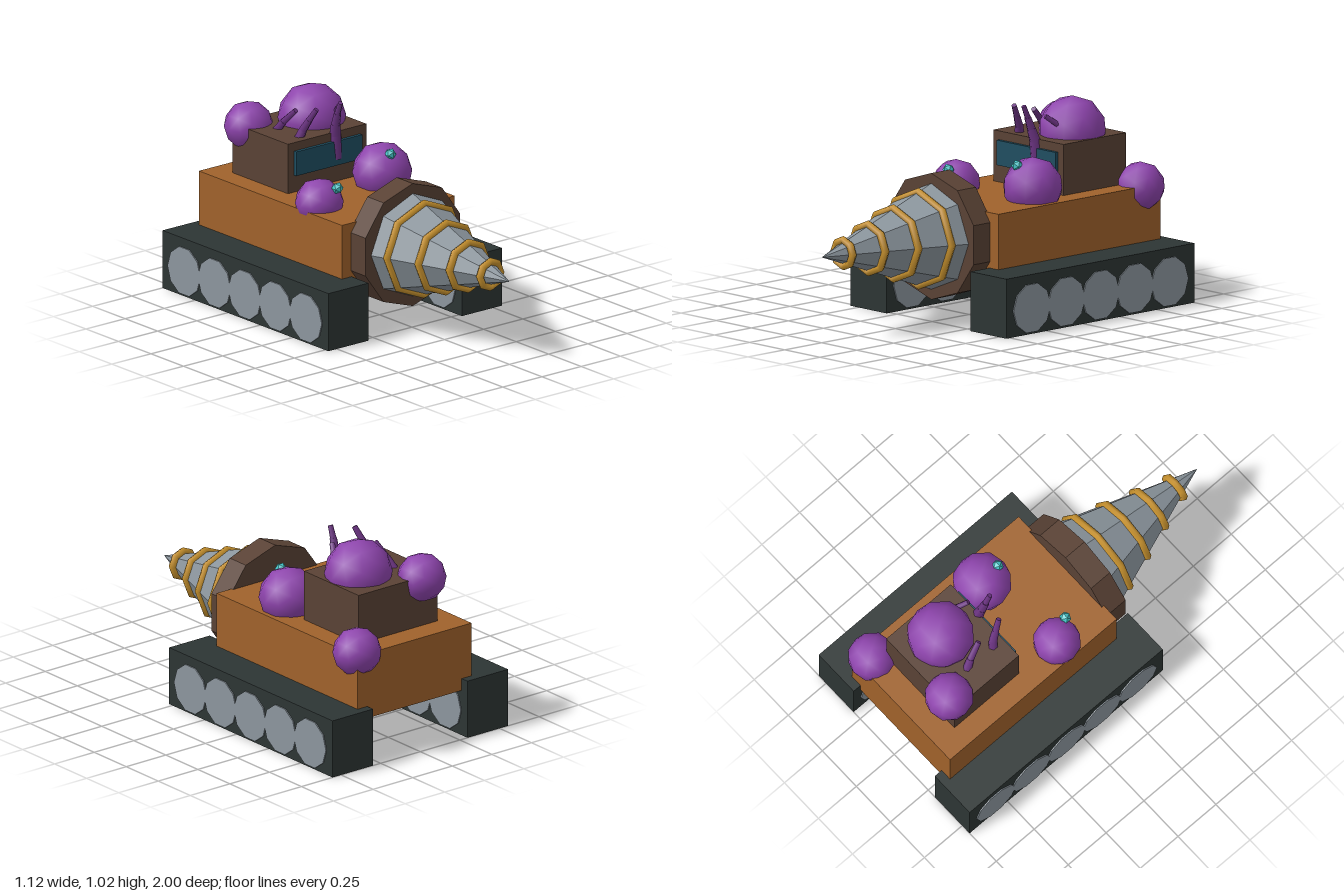
import * as THREE from 'three';

const mat = (name, color, flatShading = false) => {
  const m = new THREE.MeshStandardMaterial({ color });
  m.name = name;
  m.flatShading = flatShading;
  return m;
};

export function createModel() {
  const model = new THREE.Group();
  model.name = 'drillVehicle';

  const orange = mat('rustOrange', 0xa0622b);
  const brown = mat('darkBrown', 0x5a4235, true);
  const dark = mat('trackCharcoal', 0x2d3534);
  const steel = mat('steel', 0x8c969e, true);
  const gold = mat('gold', 0xc8922e);
  const glass = mat('tealGlass', 0x1f4e61);
  const purple = mat('purple', 0x8e44ad);
  const stalkPurple = mat('darkPurple', 0x6c3483);
  const cyan = mat('cyanCrystal', 0x45c5c8, true);

  const add = (name, geometry, material, x, y, z) => {
    const mesh = new THREE.Mesh(geometry, material);
    mesh.name = name;
    mesh.position.set(x, y, z);
    model.add(mesh);
    return mesh;
  };
  const box = (name, w, h, d, material, x, y, z) =>
    add(name, new THREE.BoxGeometry(w, h, d), material, x, y, z);

  // Hull, cabin and windscreen
  box('hull', 0.72, 0.34, 1.1, orange, 0, 0.406, -0.405);
  box('cabin', 0.5, 0.26, 0.425, brown, 0, 0.702, -0.615);
  box('windscreen', 0.42, 0.125, 0.02, glass, 0, 0.726, -0.395);

  // Tracks with road wheels showing on both faces
  for (const side of [1, -1]) {
    const name = side > 0 ? 'left' : 'right';
    box(name + 'Track', 0.256, 0.298, 1.275, dark, side * 0.426, 0.149, -0.3625);
    for (let i = 0; i < 5; i++) {
      const wheel = new THREE.CylinderGeometry(0.126, 0.126, 0.268, 10).rotateZ(Math.PI / 2);
      add(name + 'Wheel', wheel, steel, side * 0.426, 0.13, 0.105 - i * 0.2335);
    }
  }

  // Drill: collar, cone and spiral-like rings
  const axisY = 0.428;
  const collar = new THREE.CylinderGeometry(0.317, 0.317, 0.125, 10).rotateX(Math.PI / 2);
  add('drillCollar', collar, brown, 0, axisY, 0.194);
  const cone = new THREE.ConeGeometry(0.266, 0.745, 8).rotateX(Math.PI / 2);
  add('drillCone', cone, steel, 0, axisY, 0.6275);
  [0.235, 0.177, 0.12, 0.066].forEach((r, i) =>
    add('drillRing', new THREE.TorusGeometry(r, 0.02, 6, 8), gold, 0, axisY, 0.342 + i * 0.17));

  // Round growths: x, y, z, radius
  [
    [0.083, 0.853, -0.62, 0.17],
    [-0.175, 0.815, -0.795, 0.123],
    [0.3, 0.565, -0.877, 0.122],
    [0.21, 0.64, -0.232, 0.149],
    [-0.255, 0.598, -0.155, 0.121],
  ].forEach(([x, y, z, r]) =>
    add('growth', new THREE.IcosahedronGeometry(r, 1), purple, x, y, z));

  // Crystals on the front growths
  [[-0.215, 0.685, -0.064], [0.19, 0.753, -0.146]].forEach(([x, y, z]) =>
    add('crystal', new THREE.IcosahedronGeometry(0.03, 0), cyan, x, y, z));

  // Stalks made of stepped, tapering segments along a bent path
  const stalk = (points, r0, r1) => {
    const up = new THREE.Vector3(0, 1, 0);
    const path = points.map((p) => new THREE.Vector3(...p));
    for (let i = 0; i < path.length - 1; i++) {
      const dir = path[i + 1].clone().sub(path[i]);
      const r = THREE.MathUtils.lerp(r0, r1, i / Math.max(1, path.length - 2));
      const mid = path[i].clone().add(path[i + 1]).multiplyScalar(0.5);
      const geometry = new THREE.CylinderGeometry(r * 0.8, r, dir.length() * 1.05, 6);
      add('stalkSegment', geometry, stalkPurple, mid.x, mid.y, mid.z)
        .quaternion.setFromUnitVectors(up, dir.normalize());
    }
  };
  stalk([[0.06, 0.7, -0.41], [0.05, 0.82, -0.4], [0.04, 0.88, -0.385],
    [0.035, 0.94, -0.365], [0.033, 1.0, -0.34]], 0.036, 0.016);
  stalk([[-0.135, 0.8, -0.47], [-0.115, 0.865, -0.45], [-0.1, 0.92, -0.42],
    [-0.083, 0.98, -0.385]], 0.027, 0.017);
  stalk([[-0.135, 0.8, -0.65], [-0.115, 0.87, -0.6], [-0.095, 0.94, -0.53]], 0.024, 0.018);
  stalk([[0.14, 0.88, -0.51], [0.094, 0.945, -0.43]], 0.017, 0.015);

  return model;
}
